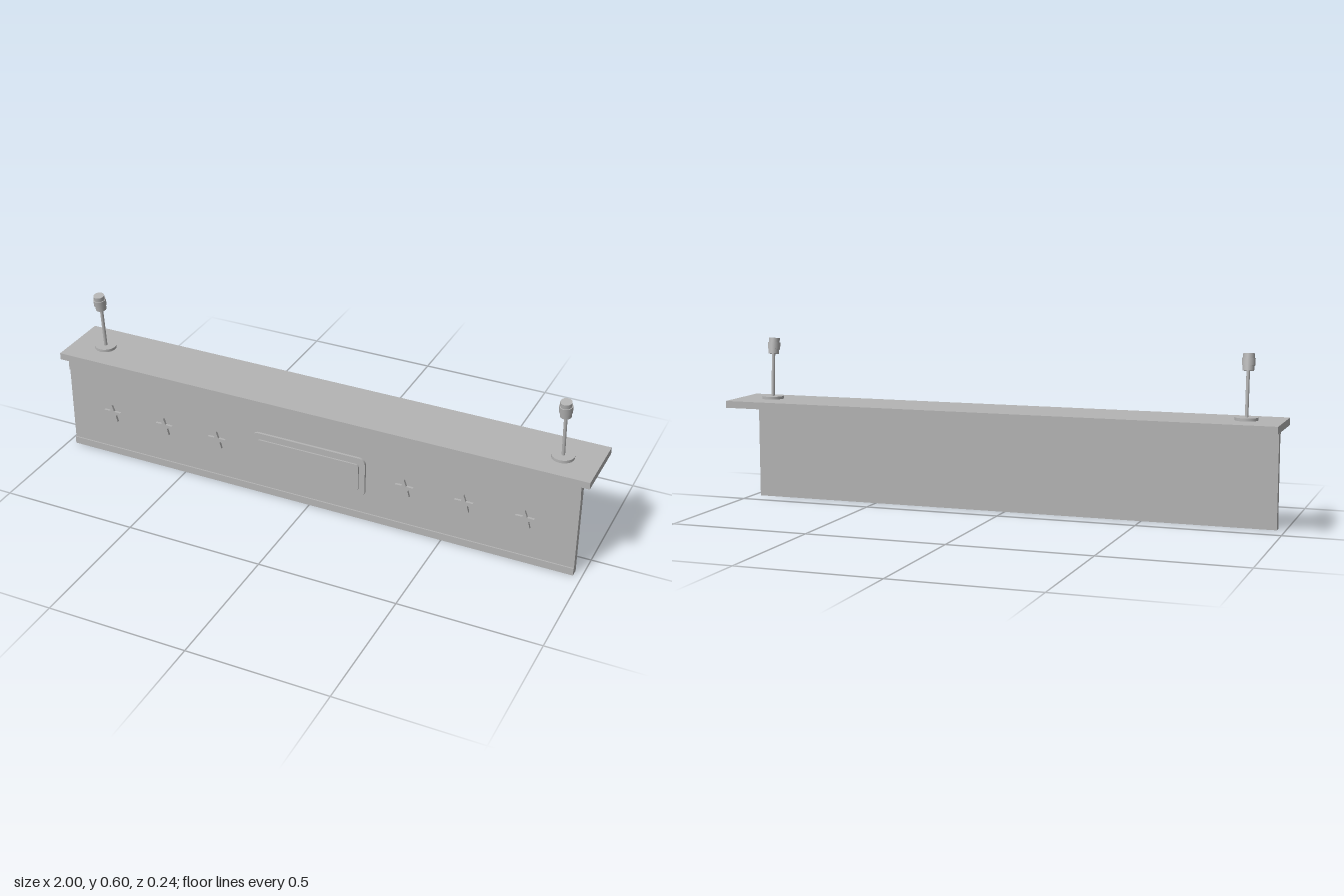
import * as THREE from 'three';

const grey = new THREE.MeshStandardMaterial({ color: 0xb4b4b4 });
grey.name = 'plain grey';

function add(parent, name, geometry, x = 0, y = 0, z = 0) {
  const mesh = new THREE.Mesh(geometry, grey);
  mesh.name = name;
  mesh.position.set(x, y, z);
  parent.add(mesh);
  return mesh;
}

// Box given by its lower and upper y and its back and front z, centred on x
function slab(parent, name, width, y0, y1, z0, z1) {
  return add(parent, name, new THREE.BoxGeometry(width, y1 - y0, z1 - z0),
    0, (y0 + y1) / 2, (z0 + z1) / 2);
}

function extrude(shape, depth) {
  return new THREE.ExtrudeGeometry(shape, { depth, bevelEnabled: false, curveSegments: 6 });
}

function roundedRect(w, h, r) {
  const s = new THREE.Shape();
  s.absarc(w / 2 - r, h / 2 - r, r, 0, Math.PI / 2);
  s.absarc(-w / 2 + r, h / 2 - r, r, Math.PI / 2, Math.PI);
  s.absarc(-w / 2 + r, -h / 2 + r, r, Math.PI, Math.PI * 1.5);
  s.absarc(w / 2 - r, -h / 2 + r, r, Math.PI * 1.5, Math.PI * 2);
  s.closePath();
  return s;
}

function starShape(outer, inner) {
  const points = [];
  for (let i = 0; i < 10; i++) {
    const a = Math.PI / 2 + i * Math.PI / 5;
    const r = i % 2 ? inner : outer;
    points.push(new THREE.Vector2(Math.cos(a) * r, Math.sin(a) * r));
  }
  return new THREE.Shape(points);
}

// Microphone: round foot, leaning stem and a tilted three-ring head
function microphone(name, x) {
  const mic = new THREE.Group();
  mic.name = name;
  mic.position.set(x, 0.38, 0.007);
  add(mic, 'foot', new THREE.CylinderGeometry(0.039, 0.039, 0.01, 24), 0, 0.005, 0);

  const stem = add(mic, 'stem', new THREE.CylinderGeometry(0.006, 0.006, 0.17, 12), 0, 0.088, 0.005);
  stem.rotation.x = 0.07;

  const head = new THREE.Group();
  head.name = 'head';
  head.position.set(0, 0.163, 0.011);
  head.rotation.x = 0.16;
  add(head, 'headBase', new THREE.CylinderGeometry(0.0195, 0.0195, 0.019, 20), 0, 0.0095, 0);
  add(head, 'headRing', new THREE.CylinderGeometry(0.0225, 0.0225, 0.024, 20), 0, 0.030, 0);
  add(head, 'headCap', new THREE.CylinderGeometry(0.0195, 0.0195, 0.017, 20), 0, 0.0495, 0);
  mic.add(head);
  return mic;
}

export function createModel() {
  const desk = new THREE.Group();
  desk.name = 'desk';

  // Top board, front panel and its raised trims
  slab(desk, 'topBoard', 2, 0.355, 0.38, -0.118, 0.118);
  slab(desk, 'frontPanel', 1.942, 0, 0.355, 0.08, 0.105);
  slab(desk, 'upperTrim', 1.942, 0.315, 0.355, 0.104, 0.11);
  slab(desk, 'lowerTrim', 1.942, 0, 0.027, 0.104, 0.11);

  // Stepped name plate
  add(desk, 'plateFrame', extrude(roundedRect(0.435, 0.155, 0.024), 0.01), -0.003, 0.171, 0.104);
  add(desk, 'plateFace', extrude(roundedRect(0.39, 0.108, 0.012), 0.006), -0.003, 0.171, 0.1135);

  // Three stars on each side of the plate
  const star = extrude(starShape(0.035, 0.0145), 0.01);
  for (const side of [-1, 1])
    for (const x of [0.362, 0.578, 0.794])
      add(desk, 'star', star, side * x - 0.003, 0.172, 0.104);

  desk.add(microphone('rightMicrophone', -0.874), microphone('leftMicrophone', 0.873));
  return desk;
}
